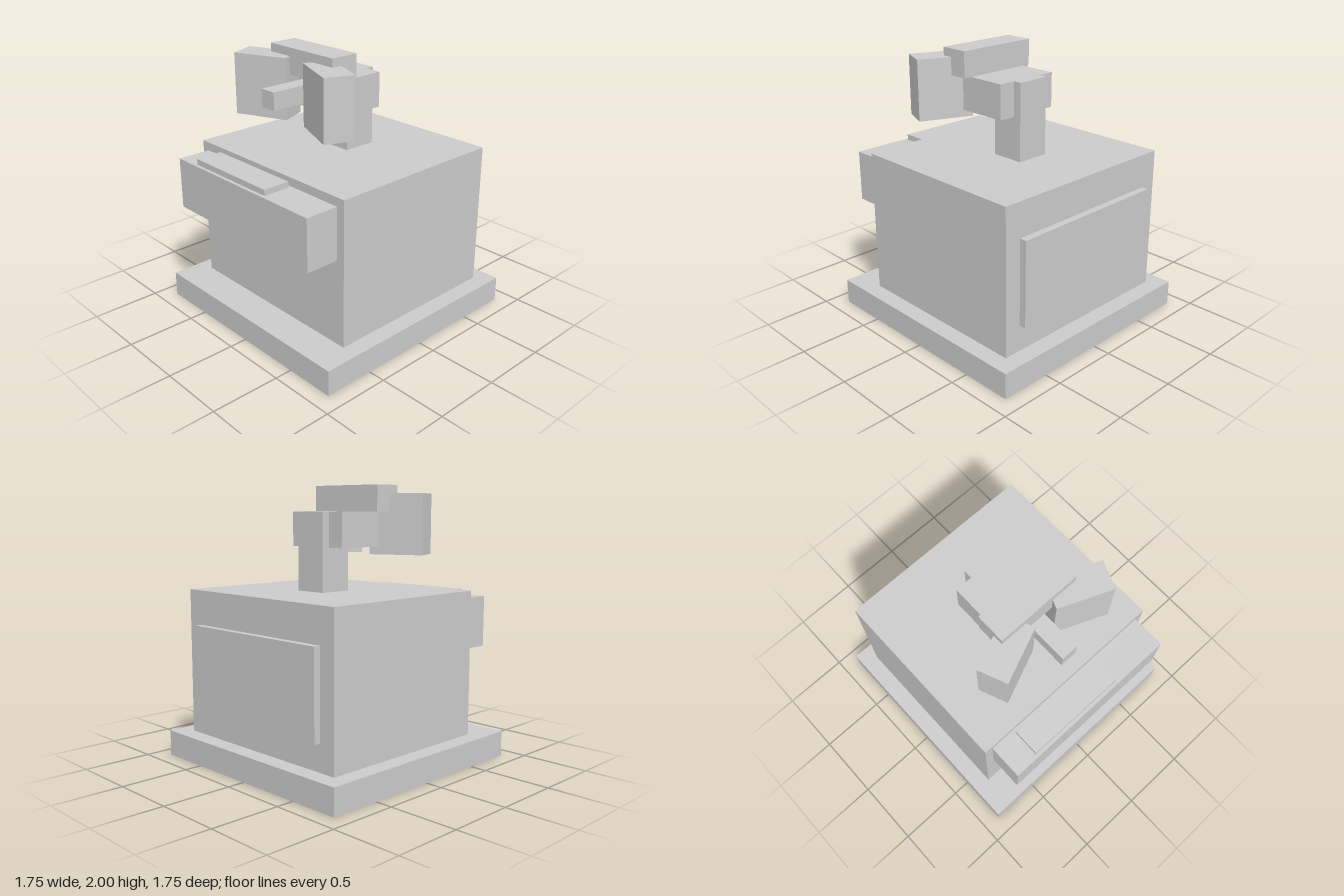
import * as THREE from 'three';

export function createModel() {
  const model = new THREE.Group();
  model.name = 'boxRobot';
  const grey = new THREE.MeshStandardMaterial({ color: 0xcccccc });
  grey.name = 'light grey';

  // Box given by its extents along each axis
  function block(name, [x0, x1], [y0, y1], [z0, z1]) {
    const mesh = new THREE.Mesh(new THREE.BoxGeometry(x1 - x0, y1 - y0, z1 - z0), grey);
    mesh.position.set((x0 + x1) / 2, (y0 + y1) / 2, (z0 + z1) / 2);
    mesh.name = name;
    model.add(mesh);
    return mesh;
  }

  // Base and body
  block('base', [-0.875, 0.875], [0, 0.1875], [-0.875, 0.875]);
  block('body', [-0.75, 0.75], [0.1875, 1.25], [-0.75, 0.625]);
  block('backPanel', [-0.625, 0.625], [0.38, 1.0], [-0.8, -0.75]);

  // Front box with its raised lid
  block('frontBox', [-0.6875, 0.6875], [0.8125, 1.1875], [0.625, 0.875]);
  block('frontBoxLid', [-0.5, 0.25], [1.1875, 1.23], [0.65, 0.85]);

  // Neck and head
  block('neck', [-0.125, 0.125], [1.25, 1.8125], [-0.25, 0]);
  block('head', [-0.25, 0.25], [1.5625, 1.8125], [-0.1875, 0.1875]);
  block('brow', [-0.3125, 0.3125], [1.8125, 2], [0.1, 0.3125]);
  block('nose', [-0.0625, 0.0625], [1.655, 1.78], [0.1875, 0.6]);

  // Eye blocks, turned inward
  for (const side of [-1, 1]) {
    const eye = block(side > 0 ? 'leftEye' : 'rightEye', [-0.1975, 0.1975], [1.505, 1.94], [-0.105, 0.105]);
    eye.position.x = side * 0.3125;
    eye.position.z = 0.35;
    eye.rotation.y = -side * Math.PI / 8;
  }

  return model;
}
